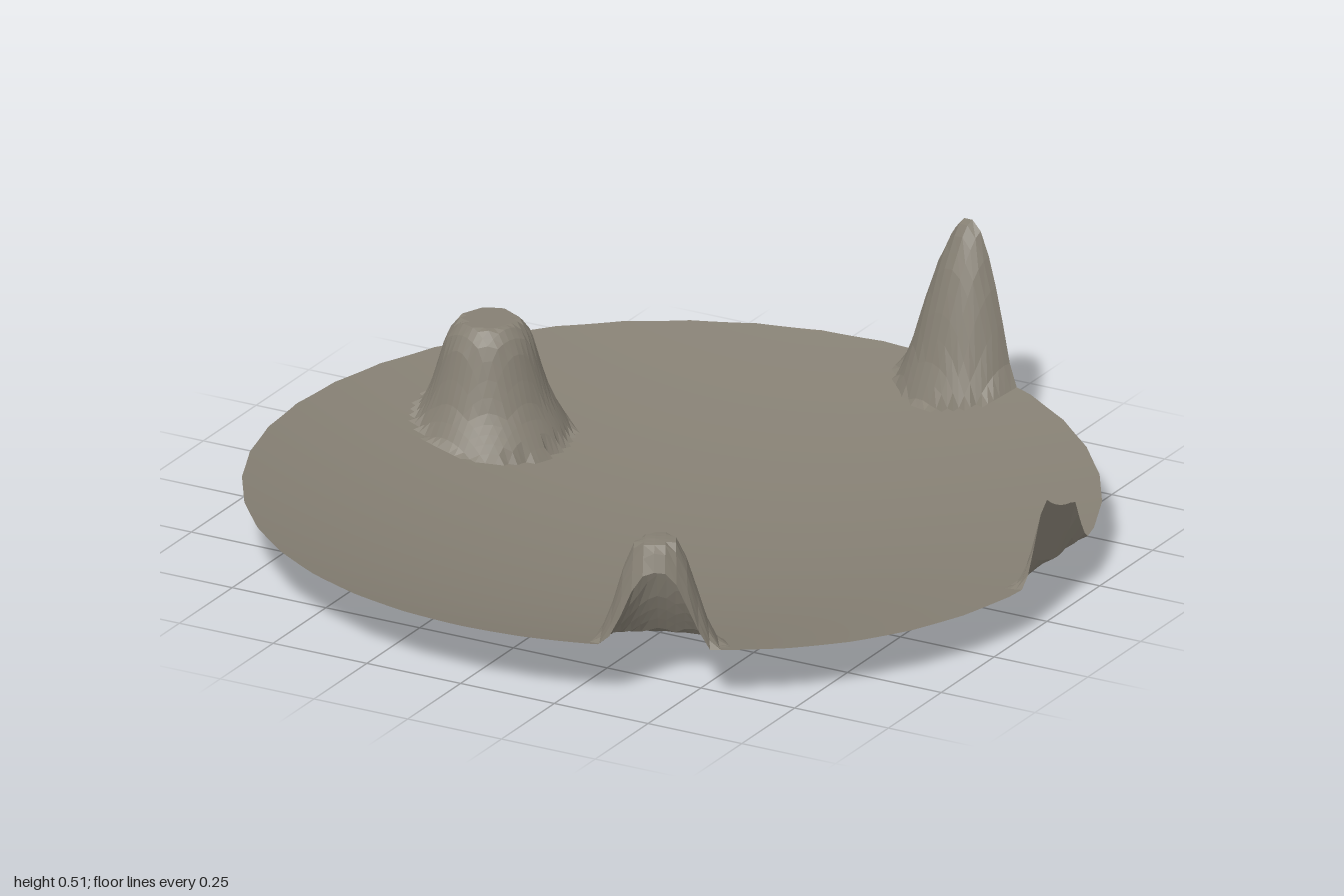
import * as THREE from 'three';
import { mergeVertices } from 'three/addons/utils/BufferGeometryUtils.js';

const SIDES = 40, PER_SIDE = 6, RINGS = 60;

// Straight-line interpolation through [position, value] pairs
function sample(profile, t) {
  if (t <= profile[0][0]) return profile[0][1];
  for (let i = 1; i < profile.length; i++) {
    const [a, va] = profile[i - 1], [b, vb] = profile[i];
    if (t <= b) return va + (vb - va) * (t - a) / (b - a);
  }
  return -1;
}

// Shallow bowl, with the rim slightly lowered on the left side
function bowlHeight(x, z) {
  const r2 = x * x + z * z;
  return 0.145 * r2 - 0.03 * THREE.MathUtils.smoothstep(x, 0.3, 1) * r2 * r2;
}

// Round hill: heights by distance from its centre
const roundHill = (cx, cz, profile) => (x, z) => sample(profile, Math.hypot(x - cx, z - cz));

// Ridge rising steeply at the rim, cut off by the edge
const ridgeProfile = [[-0.25, 0], [-0.15, 0.135], [0, 0.19], [0.02, 0.185], [0.09, 0]];
function rimRidge(x, z) {
  const crest = z < -0.25 ? 0 : sample(ridgeProfile, z);
  if (x < 0.958 || crest <= 0) return -1;
  const s = Math.min(1, (x - 0.958) / (Math.sqrt(1 - z * z) - 0.958));
  return bowlHeight(x, z) + crest * s;
}

const hills = {
  flatToppedHill: roundHill(-0.645, -0.28,
    [[0, 0.33], [0.07, 0.33], [0.1, 0.29], [0.125, 0.2], [0.145, 0.14], [0.19, 0.06]]),
  cutHill: roundHill(0.425, 0.825,
    [[0, 0.39], [0.05, 0.385], [0.08, 0.31], [0.11, 0.2], [0.135, 0.145], [0.165, 0.09]]),
  tallPeak: roundHill(0.25, -0.975,
    [[0, 0.525], [0.035, 0.5], [0.08, 0.4], [0.115, 0.29], [0.14, 0.2], [0.18, 0.1]]),
  rimRidge,
};

export function createModel() {
  const group = new THREE.Group();
  const stone = new THREE.MeshStandardMaterial({ color: 0x857f73, side: THREE.DoubleSide });
  const parts = { bowl: [] };
  for (const name in hills) parts[name] = [];

  // Point of the forty-sided disc, lifted to the bowl or to a hill
  const count = SIDES * PER_SIDE, step = (Math.PI * 2) / SIDES;
  function point(ring, seg) {
    const a = (seg % count) / count * Math.PI * 2;
    const local = (seg % PER_SIDE) / PER_SIDE * step - step / 2;
    const r = ring / RINGS * Math.cos(step / 2) / Math.cos(local);
    const x = r * Math.cos(a), z = r * Math.sin(a);
    let y = bowlHeight(x, z), part = 'bowl';
    for (const name in hills) {
      const h = hills[name](x, z);
      if (h > y + 0.001) { y = h; part = name; }
    }
    return { xyz: [x, y, z], part };
  }

  // A triangle touching a hill belongs to that hill
  function triangle(...corners) {
    const raised = corners.find((c) => c.part !== 'bowl');
    const list = parts[raised ? raised.part : 'bowl'];
    for (const c of corners) list.push(...c.xyz);
  }

  const grid = [];
  for (let i = 0; i <= RINGS; i++) {
    grid.push(Array.from({ length: count + 1 }, (_, j) => point(i, j)));
  }
  for (let i = 0; i < RINGS; i++) {
    for (let j = 0; j < count; j++) {
      const a = grid[i][j], b = grid[i][j + 1], c = grid[i + 1][j], d = grid[i + 1][j + 1];
      if (i > 0) triangle(a, b, c);
      triangle(b, d, c);
    }
  }

  // The bowl is smooth, the hills are faceted
  for (const name in parts) {
    let geometry = new THREE.BufferGeometry();
    geometry.setAttribute('position', new THREE.Float32BufferAttribute(parts[name], 3));
    if (name === 'bowl') geometry = mergeVertices(geometry, 1e-5);
    geometry.computeVertexNormals();
    const mesh = new THREE.Mesh(geometry, stone);
    mesh.name = name;
    group.add(mesh);
  }
  return group;
}
